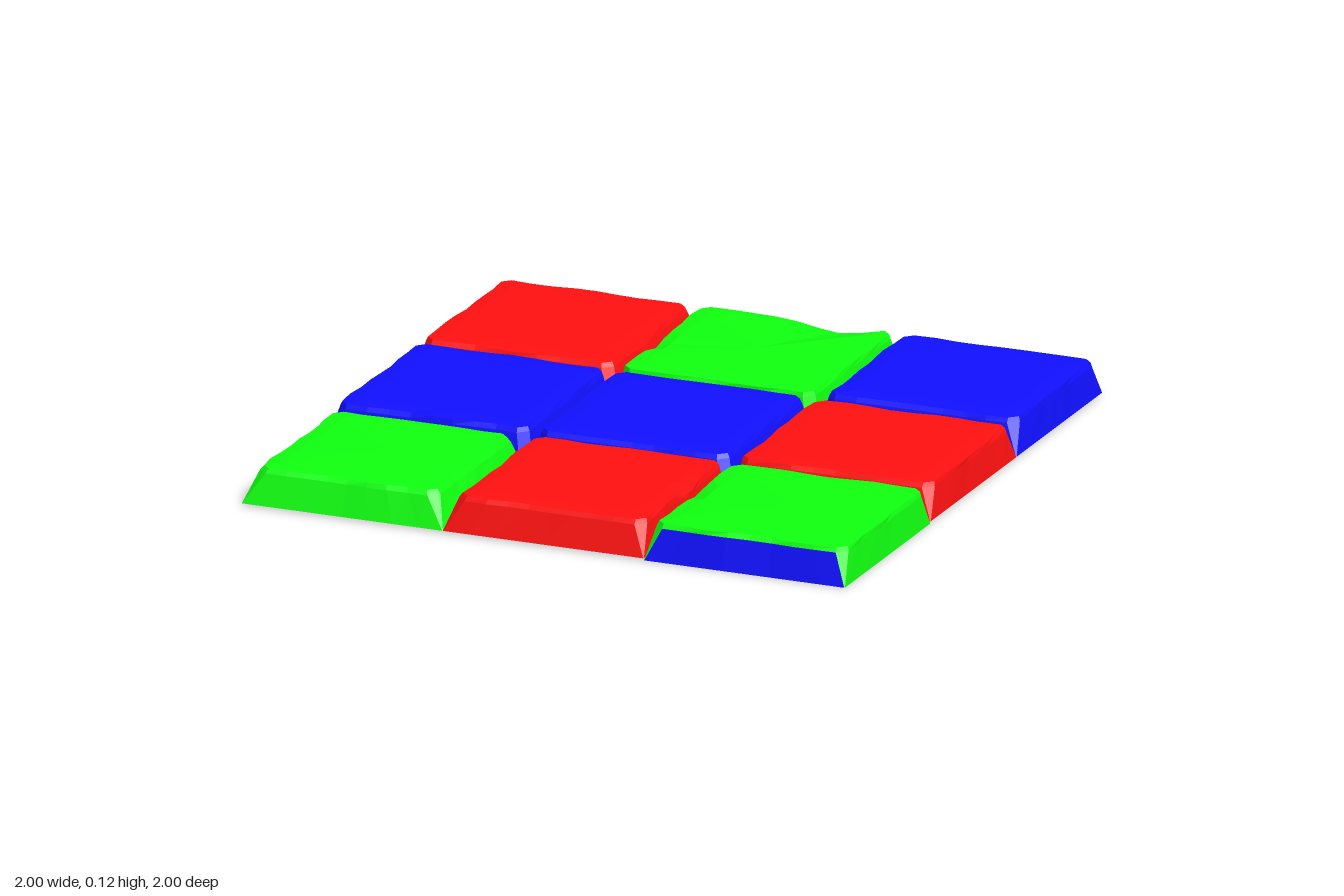
import * as THREE from 'three';

const RED = 0xff1010, GREEN = 0x10ff10, BLUE = 0x1010ff;
const T = 1 / 3, N = 8;

// name, colour, column, row, then the edges of the top face: x0, x1, z0, z1
const TILES = [
  ['backRightTile', RED, 0, 0, -0.975, -0.365, -0.98, -0.365],
  ['backMiddleTile', GREEN, 1, 0, -0.315, 0.31, -0.985, -0.35],
  ['backLeftTile', BLUE, 2, 0, 0.36, 0.98, -0.98, -0.375],
  ['middleRightTile', BLUE, 0, 1, -0.975, -0.36, -0.32, 0.3],
  ['centreTile', BLUE, 1, 1, -0.31, 0.3, -0.315, 0.295],
  ['middleLeftTile', RED, 2, 1, 0.355, 0.985, -0.305, 0.295],
  ['frontRightTile', GREEN, 0, 2, -0.955, -0.38, 0.37, 0.955],
  ['frontMiddleTile', RED, 1, 2, -0.295, 0.315, 0.35, 0.96],
  ['frontLeftTile', GREEN, 2, 2, 0.36, 0.985, 0.355, 0.965],
];

const material = (color) =>
  new THREE.MeshStandardMaterial({ color, flatShading: true, side: THREE.DoubleSide });

// gentle hand-cut unevenness
const wave = (x, z) => 0.6 * Math.sin(17 * x + 9 * z) + 0.4 * Math.sin(31 * z - 23 * x);

// chips knocked out of the upper edges: x, z, radius, depth
const CHIPS = [[0.33, 0.63, 0.07, 0.035], [0.12, -1, 0.16, 0.035], [-0.32, -0.62, 0.07, 0.02]];
function chipDepth(x, z) {
  let depth = 0;
  for (const [cx, cz, r, d] of CHIPS) {
    depth += d * Math.max(0, 1 - Math.hypot(x - cx, z - cz) / r);
  }
  return depth;
}

// Closed loop round a rectangle with cut corners: front, left, back, right side
function loop([x0, x1, z0, z1], y, cuts, wobble) {
  const corners = [[x0, z1], [x1, z1], [x1, z0], [x0, z0]];
  const points = [];
  corners.forEach(([ax, az], s) => {
    const e = (s + 1) % 4;
    const [bx, bz] = corners[e];
    const length = Math.hypot(bx - ax, bz - az);
    const dx = (bx - ax) / length, dz = (bz - az) / length;
    for (let i = 0; i <= N; i++) {
      const d = cuts[s] + (length - cuts[s] - cuts[e]) * i / N;
      const x = ax + dx * d, z = az + dz * d;
      const w = i > 0 && i < N ? wobble * wave(x, z) : 0;
      const drop = wobble ? chipDepth(x, z) : 0;
      points.push([x + dz * w, y - drop, z - dx * w]);
    }
  });
  return points;
}

// Skin between consecutive loops, with an optional cap and side filter
function skin(loops, capCentre, keep = () => true) {
  const pos = [];
  const count = loops[0].length;
  for (let k = 0; k < loops.length - 1; k++) {
    for (let i = 0; i < count; i++) {
      if (!keep(k, i)) continue;
      const j = (i + 1) % count;
      const a = loops[k][i], b = loops[k][j], c = loops[k + 1][j], d = loops[k + 1][i];
      pos.push(...a, ...b, ...c, ...a, ...c, ...d);
    }
  }
  if (capCentre) {
    const last = loops[loops.length - 1];
    last.forEach((p, i) => pos.push(...p, ...last[(i + 1) % count], ...capCentre));
  }
  const g = new THREE.BufferGeometry();
  g.setAttribute('position', new THREE.Float32BufferAttribute(pos, 3));
  g.computeVertexNormals();
  return g;
}

const mix = (a, b, t) => a.map((v, i) => v + (b[i] - v) * t);

function makeTile([name, color, col, row, ...top]) {
  const group = new THREE.Group();
  group.name = name;
  const base = [(col - 1.5) * 2 * T, (col - 0.5) * 2 * T, (row - 1.5) * 2 * T, (row - 0.5) * 2 * T];
  // foot corners are cut only where four tiles meet
  const cuts = [[0, 3], [1, 3], [1, 2], [0, 2]].map(([a, b]) =>
    Math.abs(base[a]) < 0.9 && Math.abs(base[b]) < 0.9 ? 0.03 : 0.002);
  const even = (c) => [c, c, c, c];
  const centre = [(top[0] + top[1]) / 2, 0.121, (top[2] + top[3]) / 2];
  const inner = [top[0] + 0.05, top[1] - 0.05, top[2] + 0.05, top[3] - 0.05];
  const frontLeft = col === 2 && row === 2;
  const loops = [
    loop(base, frontLeft ? 0 : 0.006, cuts, 0),
    loop(mix(base, top, 0.75), 0.1, even(0.03), 0.003),
    loop(top, 0.114, even(0.025), 0.008),
    loop(inner, 0.12, even(0.02), 0.006),
  ];

  // hollow shell, open underneath
  const isFrontWall = (k, i) => frontLeft && k === 0 && i < N;
  const shell = new THREE.Mesh(skin(loops, centre, (k, i) => !isFrontWall(k, i)), material(color));
  shell.name = name + 'Shell';
  group.add(shell);

  // the front left tile has a blue front wall
  if (frontLeft) {
    const wall = new THREE.Mesh(skin(loops, null, isFrontWall), material(BLUE));
    wall.name = 'blueFrontWall';
    group.add(wall);
  }
  return group;
}

export function createModel() {
  const model = new THREE.Group();
  model.name = 'tilePanel';
  TILES.forEach((tile) => model.add(makeTile(tile)));

  // small blue webs closing the gaps where four tiles meet
  for (const x of [-T, T]) {
    for (const z of [-T, T]) {
      const web = new THREE.Mesh(new THREE.CircleGeometry(0.032, 4), material(BLUE));
      web.name = 'cornerWeb';
      web.rotation.x = -Math.PI / 2;
      web.position.set(x, 0.008, z);
      model.add(web);
    }
  }
  return model;
}
